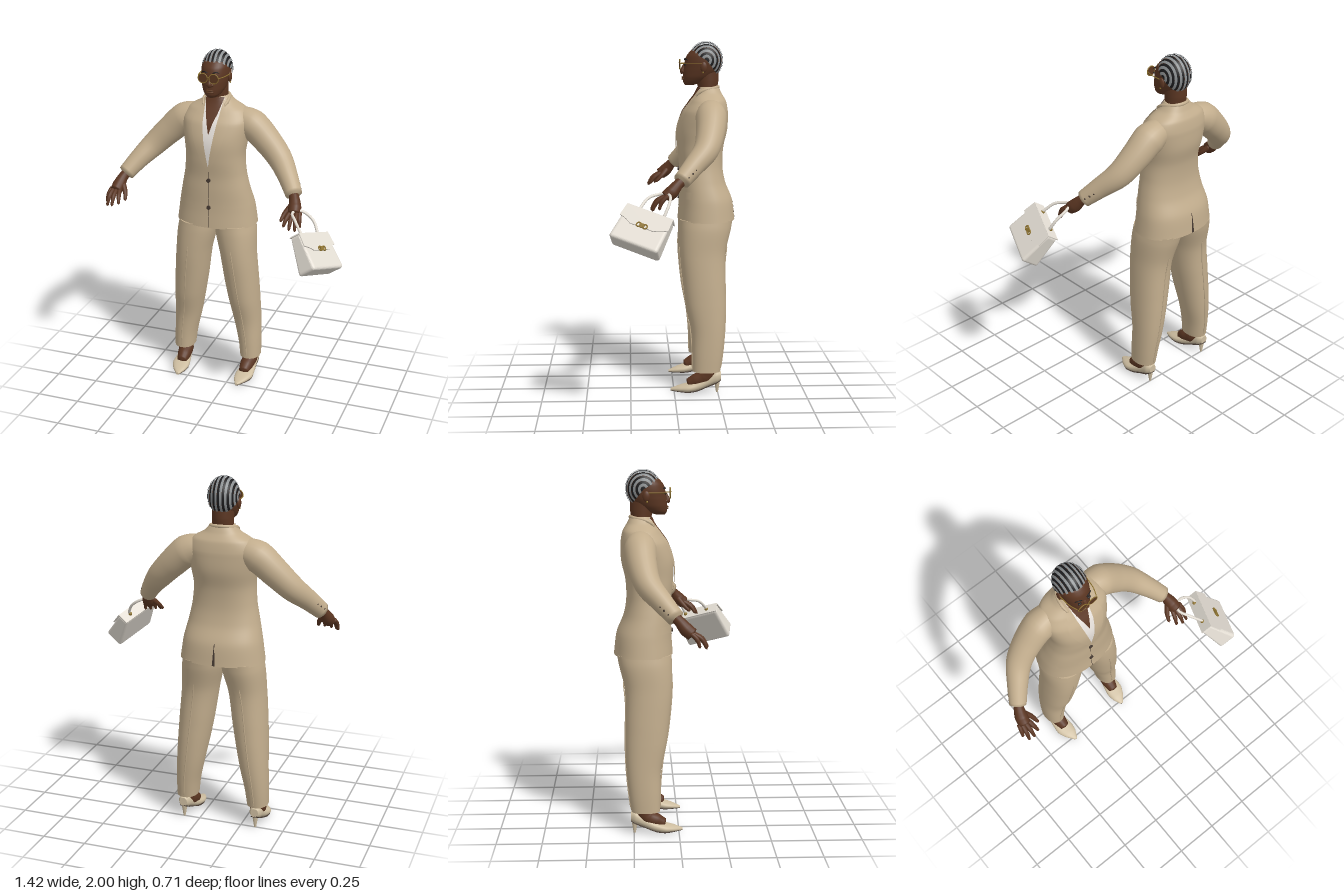
import * as THREE from 'three';
import { mergeVertices } from 'three/addons/utils/BufferGeometryUtils.js';
import { RoundedBoxGeometry } from 'three/addons/geometries/RoundedBoxGeometry.js';

const V = (x, y, z) => new THREE.Vector3(x, y, z);
const mat = (name, color) => Object.assign(new THREE.MeshStandardMaterial({ color }), { name });
const lerp = THREE.MathUtils.lerp;

// Smoothly interpolated horizontal section from keys [x, y, z, halfWidth, halfDepth]
function sections(keys) {
  const mid = new THREE.CatmullRomCurve3(keys.map(k => V(k[0], k[1], k[2])));
  const size = new THREE.CatmullRomCurve3(keys.map(k => V(k[3], k[4], 0)));
  return t => ({ c: mid.getPoint(t), s: size.getPoint(t) });
}

// Closed body through superelliptic sections, stacked upwards
function loft(keys, k = 2, n = 36, steps = 40) {
  const at = sections(keys), pos = [], idx = [];
  const ring = t => {
    const { c, s } = at(t);
    for (let i = 0; i < n; i++) {
      const a = i / n * Math.PI * 2, p = v => Math.sign(v) * Math.abs(v) ** (2 / k);
      pos.push(c.x + s.x * p(Math.cos(a)), c.y, c.z + s.y * p(Math.sin(a)));
    }
  };
  for (let j = 0; j <= steps; j++) ring(j / steps);
  for (let j = 0; j < steps; j++) for (let i = 0; i < n; i++) {
    const a = j * n + i, c = j * n + (i + 1) % n;
    idx.push(a, a + n, c, a + n, c + n, c);
  }
  for (const t of [0, 1]) {
    const base = pos.length / 3;
    ring(t);
    pos.push(...at(t).c.toArray());
    for (let i = 0; i < n; i++) {
      const a = base + i, b = base + (i + 1) % n;
      idx.push(base + n, t ? b : a, t ? a : b);
    }
  }
  const g = new THREE.BufferGeometry();
  g.setAttribute('position', new THREE.Float32BufferAttribute(pos, 3));
  g.setIndex(idx);
  g.computeVertexNormals();
  return g;
}

// Tube of varying radius with closed ends, keys [x, y, z, radius]
function limb(keys, seg = 24, sides = 16) {
  const path = new THREE.CatmullRomCurve3(keys.map(k => V(k[0], k[1], k[2])));
  const tube = new THREE.TubeGeometry(path, seg, 1, sides), p = tube.attributes.position;
  for (let i = 0; i < p.count; i++) {
    const row = Math.floor(i / (sides + 1)), u = row / seg;
    const f = path.getUtoTmapping(u) * (keys.length - 1), j = Math.min(Math.floor(f), keys.length - 2);
    const r = row === 0 || row === seg ? 0.0005 : lerp(keys[j][3], keys[j + 1][3], f - j);
    const c = path.getPointAt(u), v = V().fromBufferAttribute(p, i).sub(c).multiplyScalar(r).add(c);
    p.setXYZ(i, v.x, v.y, v.z);
  }
  tube.deleteAttribute('uv');
  tube.deleteAttribute('normal');
  const g = mergeVertices(tube, 1e-6);
  g.computeVertexNormals();
  return g;
}

const TORSO = [
  [0, .985, -.192, .238, .164], [0, 1.1, -.188, .222, .153], [0, 1.2, -.168, .2, .133], [0, 1.3, -.16, .18, .125],
  [0, 1.4, -.158, .172, .132], [0, 1.5, -.17, .184, .142], [0, 1.6, -.187, .198, .128],
  [0, 1.665, -.203, .168, .1], [0, 1.705, -.205, .1, .074], [0, 1.742, -.205, .066, .057]];
const LEG = [
  [.212, .125, -.185, .06, .08], [.206, .22, -.191, .066, .087], [.19, .35, -.195, .078, .096], [.172, .5, -.182, .09, .114],
  [.158, .62, -.174, .097, .121], [.138, .8, -.166, .103, .13], [.117, .94, -.182, .115, .147], [.11, .992, -.188, .112, .15]];
const torsoAt = sections(TORSO), legAt = sections(LEG), TK = 2.3;

// Depth of the jacket surface at a point
function torsoZ(x, y, side) {
  let lo = 0, hi = 1;
  for (let i = 0; i < 30; i++) { const m = (lo + hi) / 2; torsoAt(m).c.y < y ? lo = m : hi = m; }
  const { c, s } = torsoAt(lo);
  return c.z + side * s.y * Math.max(0, 1 - Math.min(1, Math.abs(x) / s.x) ** TK) ** (1 / TK);
}

// Thin panel lying on the jacket, rows [y, xLeft, xRight] from top to bottom
function patch(rows, off, side = 1) {
  const g = new THREE.PlaneGeometry(1, 1, 8, 24), p = g.attributes.position;
  for (let i = 0; i < p.count; i++) {
    const f = (0.5 - p.getY(i)) * (rows.length - 1), j = Math.min(Math.floor(f), rows.length - 2);
    const [y, l, r] = rows[j].map((v, q) => lerp(v, rows[j + 1][q], f - j));
    const x = lerp(l, r, p.getX(i) + 0.5);
    p.setXYZ(i, x * side, y, torsoZ(x, y, side) + side * off);
  }
  g.computeVertexNormals();
  return g;
}

// Pressed crease down the front (1) or back (-1) of a trouser leg
function crease(side) {
  return limb([.02, .18, .34, .5, .66, .76].map(t => {
    const { c, s } = legAt(t);
    return [c.x, c.y, c.z + side * (s.y + .001), .0035];
  }), 40, 6);
}

export function createModel() {
  const model = new THREE.Group();
  const suit = mat('suit tan', 0xc2ad8d), skin = mat('skin brown', 0x5b3622), hair = mat('hair black', 0x1c1c1e);
  const braid = mat('braid grey', 0x8b8f91), white = mat('shirt white', 0xe6e0da), bagMat = mat('bag cream', 0xe3ddd3);
  const gold = mat('gold', 0x8f7430), dark = mat('button dark', 0x463a32), shoeMat = mat('shoe beige', 0xcdbda0);
  const lens = mat('lens brown', 0x5a371f);
  white.side = skin.side = suit.side = dark.side = THREE.DoubleSide;

  const add = (parent, name, geo, m, pos, scale) => {
    const o = new THREE.Mesh(geo, m);
    o.name = name;
    if (pos) o.position.set(...pos);
    if (scale) o.scale.set(...scale);
    parent.add(o);
    return o;
  };
  const ball = new THREE.SphereGeometry(1, 20, 14);
  const body = new THREE.Group();
  body.name = 'body';
  body.position.x = -.12;
  model.add(body);

  // Jacket, shirt and neckline
  add(body, 'jacket', loft(TORSO, TK, 48, 60), suit);
  add(body, 'shirt', patch([[1.735, -.056, .056], [1.6, -.042, .042], [1.47, -.02, .02], [1.36, -.001, .001]], .004), white);
  add(body, 'neckline', patch([[1.738, -.055, .055], [1.66, -.036, .036], [1.61, -.018, .018], [1.55, -.001, .001]], .007), skin);
  add(body, 'jacketOpening', patch([[1.34, -.0015, .0015], [.99, -.0015, .0015]], .002), dark);
  add(body, 'backVent', patch([[1.11, -.001, .001], [.988, -.008, .008]], .003, -1), dark);
  add(body, 'collar', limb([[-.062, 1.69, -.122, .008], [-.072, 1.722, -.17, .01], [-.052, 1.737, -.238, .01], [0, 1.741, -.259, .01],
    [.052, 1.737, -.238, .01], [.072, 1.722, -.17, .01], [.062, 1.69, -.122, .008]], 32, 10), suit);
  for (const y of [1.275, 1.11]) {
    add(body, 'jacketButton', new THREE.CylinderGeometry(.012, .012, .008, 16).rotateX(Math.PI / 2), dark, [0, y, torsoZ(0, y, 1) + .004]);
  }

  // Parts on both sides of the body
  for (const s of [1, -1]) {
    const half = new THREE.Group();
    half.name = s > 0 ? 'leftSide' : 'rightSide';
    half.scale.x = s;
    body.add(half);
    add(half, 'lapel', patch([[1.725, .052, .068], [1.65, .047, .095], [1.6, .041, .113], [1.5, .026, .085], [1.41, .01, .045], [1.33, 0, .008]], .009), suit);
    add(half, 'pocketFlap', patch([[1.155, .09, .195], [1.115, .085, .195]], .006), suit);
    add(half, 'sleeve', limb([[.06, 1.62, -.205, .045], [.13, 1.605, -.208, .074], [.2, 1.58, -.207, .088], [.29, 1.502, -.197, .08],
      [.38, 1.412, -.166, .07], [.45, 1.335, -.097, .057], [.516, 1.25, -.018, .046]], 40, 24), suit);
    for (const [x, y, z] of [[.532, 1.283, -.064], [.519, 1.302, -.086], [.505, 1.319, -.105]]) {
      add(half, 'cuffButton', ball, dark, [x, y, z], [.008, .008, .008]);
    }

    // Hand with spread fingers
    add(half, 'palm', limb([[.5, 1.268, -.036, .028], [.517, 1.243, -.008, .029], [.53, 1.205, .025, .037], [.537, 1.175, .062, .034]], 20), skin);
    const fingers = [[.564, .58, 1.115, .095], [.55, .562, 1.105, .132], [.532, .53, 1.11, .138], [.516, .493, 1.12, .124]];
    for (const [kx, tx, ty, tz] of fingers) {
      add(half, 'finger', limb([[kx, 1.192, .045, .013], [lerp(kx, tx, .6), 1.158, lerp(.05, tz, .65), .0125], [tx, ty, tz, .007]], 14, 10), skin);
    }
    add(half, 'thumb', limb([[.512, 1.215, .015, .018], [.482, 1.175, .05, .014], [.466, 1.135, .09, .008]], 14, 10), skin);

    // Trouser leg with pressed creases
    add(half, 'trouserLeg', loft(LEG, 2.2), suit);
    add(half, 'frontCrease', crease(1), suit);
    add(half, 'backCrease', crease(-1), suit);

    // Foot and heeled shoe; sections run from heel to toe
    add(half, 'foot', limb([[.212, .18, -.195, .046], [.212, .12, -.197, .042], [.208, .088, -.178, .045], [.203, .064, -.125, .04], [.2, .042, -.075, .027]]), skin);
    const shoe = [[.215, -.268, .095, .022, .025], [.215, -.24, .09, .036, .036], [.212, -.19, .064, .039, .03], [.208, -.13, .037, .047, .027],
      [.205, -.08, .026, .053, .023], [.198, -.03, .019, .04, .016], [.19, .02, .01, .009, .007]];
    add(half, 'shoe', loft(shoe.map(([x, z, y, w, h]) => [x, z, -y, w, h]), 2.3, 28).rotateX(Math.PI / 2), shoeMat);
    add(half, 'sole', loft(shoe.map(([x, z, y, w, h]) => [x, z, -(y - h + .003), w * .88, .004]), 2.3, 28).rotateX(Math.PI / 2), dark);
    add(half, 'heel', new THREE.CylinderGeometry(.02, .006, .085, 14), shoeMat, [.215, .0425, -.247]);

    // Ear, earring, eye and eyebrow
    add(half, 'ear', ball, skin, [.08, 1.855, -.172], [.011, .03, .02]);
    add(half, 'earring', ball, gold, [.083, 1.826, -.168], [.005, .006, .005]);
    add(half, 'eye', ball, hair, [.03, 1.868, -.068], [.011, .005, .006]);
    add(half, 'eyebrow', limb([[.014, 1.893, -.067, .003], [.034, 1.9, -.071, .003], [.053, 1.893, -.082, .002]], 10, 8), hair);

    // Glasses
    add(half, 'glassesRim', new THREE.TorusGeometry(.027, .0026, 8, 28), gold, [.032, 1.87, -.04]);
    add(half, 'glassesLens', new THREE.CylinderGeometry(.026, .026, .003, 28).rotateX(Math.PI / 2), lens, [.032, 1.87, -.04]);
    add(half, 'glassesTemple', limb([[.058, 1.874, -.042, .0025], [.076, 1.874, -.09, .0025], [.085, 1.874, -.17, .0025]], 12, 8), gold);
  }
  add(body, 'glassesBridge', limb([[-.008, 1.872, -.04, .0025], [0, 1.877, -.036, .0025], [.008, 1.872, -.04, .0025]], 8, 8), gold);

  // Head and neck
  add(body, 'neck', loft([[0, 1.65, -.205, .062, .058], [0, 1.72, -.2, .058, .054], [0, 1.78, -.198, .059, .063], [0, 1.83, -.195, .06, .065]]), skin);
  add(body, 'head', loft([[0, 1.753, -.095, .024, .026], [0, 1.77, -.118, .046, .059], [0, 1.8, -.143, .064, .086], [0, 1.84, -.164, .075, .104],
    [0, 1.88, -.172, .08, .105], [0, 1.915, -.177, .079, .1], [0, 1.945, -.185, .07, .085], [0, 1.975, -.19, .04, .045]], 2.1), skin);
  add(body, 'nose', limb([[0, 1.872, -.072, .009], [0, 1.847, -.06, .012], [0, 1.83, -.056, .016], [0, 1.82, -.064, .013]], 16, 12), skin);
  for (const x of [-.013, .013]) add(body, 'nostril', ball, skin, [x, 1.827, -.064], [.01, .009, .01]);
  for (const y of [1.796, 1.786]) add(body, 'lip', ball, lens, [0, y, -.061], [.024, .006, .011]);

  // Braided hair: alternating bands running from forehead to nape
  const bands = 21;
  for (let i = 0; i < bands; i++) {
    const r = i % 2 ? 1.012 : .99;
    const g = new THREE.SphereGeometry(r, 36, 3, -2.44, 3.52, i * Math.PI / bands, Math.PI / bands);
    add(body, i % 2 ? 'braidRow' : 'hairParting', g.rotateZ(-Math.PI / 2), i % 2 ? braid : hair, [0, 1.893, -.188], [.087, .106, .098]);
  }

  // Handbag hanging tilted from the left hand
  const bag = new THREE.Group();
  bag.name = 'handbag';
  const bx = V(.36, -.28, -.89).normalize(), bz = bx.clone().cross(V(-.54, .8, -.28)).normalize();
  bag.quaternion.setFromRotationMatrix(new THREE.Matrix4().makeBasis(bx, bz.clone().cross(bx), bz));
  bag.position.set(.578, 1.02, .185);
  model.add(bag);
  const box = new RoundedBoxGeometry(.28, .215, .12, 4, .018), bp = box.attributes.position;
  for (let i = 0; i < bp.count; i++) {
    const y = bp.getY(i);
    bp.setXYZ(i, bp.getX(i) * (.97 - y * .3), y, bp.getZ(i) * (.74 - y * 2.1));
  }
  box.computeVertexNormals();
  add(bag, 'bagBody', box, bagMat);
  const outline = new THREE.Shape();
  outline.moveTo(-.134, .108);
  outline.lineTo(-.14, .03);
  outline.quadraticCurveTo(-.1, .025, -.07, .002);
  outline.lineTo(.07, .002);
  outline.quadraticCurveTo(.1, .025, .14, .03);
  outline.lineTo(.134, .108);
  const flap = add(bag, 'bagFlap', new THREE.ExtrudeGeometry(outline, { depth: .006, bevelEnabled: false }), bagMat, [0, 0, .0445]);
  flap.rotation.x = -.126;
  add(bag, 'bagFlapTop', new THREE.BoxGeometry(.268, .006, .068), bagMat, [0, .107, .002]);
  add(bag, 'clasp', new THREE.BoxGeometry(.028, .024, .008), gold, [0, .01, .053]);
  for (const x of [-.018, .018]) add(bag, 'claspRing', new THREE.TorusGeometry(.012, .004, 8, 20), gold, [x, .01, .054]);
  for (const x of [-.07, .07]) add(bag, 'handleStud', ball, gold, [x, .112, 0], [.011, .011, .011]);
  add(model, 'bagHandle', limb([[.56, 1.085, .075, .008], [.525, 1.15, .045, .008], [.465, 1.19, .035, .008], [.425, 1.2, .055, .008],
    [.415, 1.195, .09, .008], [.45, 1.18, .15, .008], [.507, 1.12, .205, .008]], 40, 10), bagMat);
  return model;
}
